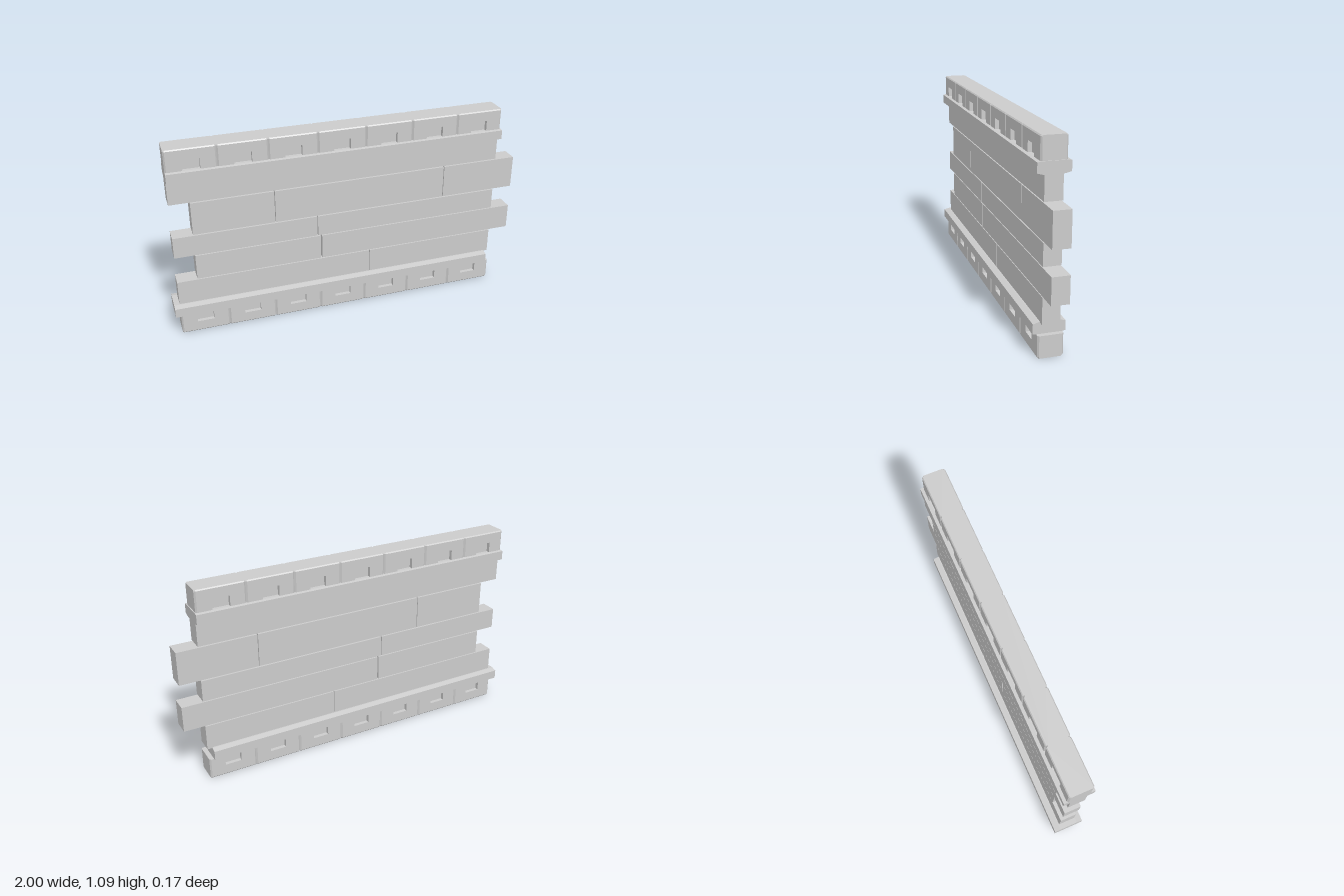
import * as THREE from 'three';

const material = new THREE.MeshStandardMaterial({ color: 0xcccccc, flatShading: true });
const HEIGHT = 1.09;
const BLOCKS = 7, PITCH = 0.265;
const MID_X = -0.0425;

function addMesh(parent, name, geometry) {
  const mesh = new THREE.Mesh(geometry, material);
  mesh.name = name;
  parent.add(mesh);
  return mesh;
}

// Plan outline of a block course: V grooves between blocks, optional window recesses.
function courseShape(withWindows) {
  const side = [];
  for (let i = 0; i < BLOCKS; i++) {
    const a = (i - BLOCKS / 2) * PITCH, b = a + PITCH, c = a + PITCH / 2;
    side.push([a, 0.058], [a + 0.008, 0.066]);
    if (withWindows) {
      side.push([c - 0.046, 0.066], [c - 0.046, 0.045], [c + 0.046, 0.045], [c + 0.046, 0.066]);
    }
    side.push([b - 0.008, 0.066]);
  }
  side.push([BLOCKS * PITCH / 2, 0.058]);
  const back = side.slice().reverse().map(([x, z]) => [x, -z]);
  return new THREE.Shape([...side, ...back].map(([x, z]) => new THREE.Vector2(x, z)));
}

// Upright slab from y0 to y1
function slab(withWindows, y0, y1) {
  const g = new THREE.ExtrudeGeometry(courseShape(withWindows), { depth: y1 - y0, bevelEnabled: false });
  g.rotateX(-Math.PI / 2);
  g.translate(0, y0, 0);
  return g;
}

// Band of seven blocks, chamfered along its outer edge at y = 0
function blockBand(name) {
  const band = new THREE.Group();
  band.name = name;
  const edge = slab(false, 0, 0.006);
  const p = edge.attributes.position;
  for (let i = 0; i < p.count; i++) {
    if (p.getY(i) < 0.003) p.setZ(i, p.getZ(i) * 0.92);
  }
  edge.computeVertexNormals();
  addMesh(band, 'chamferedEdge', edge);
  addMesh(band, 'solidCourse', slab(false, 0.006, 0.06));
  addMesh(band, 'windowCourse', slab(true, 0.06, 0.118));
  band.position.x = MID_X;
  return band;
}

// Projecting rail with sloped shoulders, running along x
function rail(x0, x1) {
  const half = [[0.083, 0.121], [0.083, 0.172], [0.052, 0.18]];
  const pts = [[0.066, 0.118], ...half, ...half.slice().reverse().map(([z, y]) => [-z, y]), [-0.066, 0.118]];
  const shape = new THREE.Shape(pts.map(([z, y]) => new THREE.Vector2(z, y)));
  const g = new THREE.ExtrudeGeometry(shape, { depth: x1 - x0, bevelEnabled: false });
  g.rotateY(Math.PI / 2);
  g.translate(x0, 0, 0);
  return g;
}

export function createModel() {
  const model = new THREE.Group();
  model.name = 'wallPanel';

  // Block bands, the upper one turned over
  model.add(blockBand('lowerBlockBand'));
  const upper = blockBand('upperBlockBand');
  upper.rotation.x = Math.PI;
  upper.position.y = HEIGHT;
  model.add(upper);

  // Rails
  addMesh(model, 'lowerRail', rail(-1, 0.86));
  const upperRail = addMesh(model, 'upperRail', rail(-0.97, 0.89));
  upperRail.rotation.x = Math.PI;
  upperRail.position.y = HEIGHT;

  // Staggered plank rows: bottom, top, joint gap, then x of ends and joints
  const rows = [
    [0.175, 0.316, 0.004, [-0.97, 0.125, 0.885]],
    [0.321, 0.463, 0.008, [-0.86, -0.16, 1]],
    [0.468, 0.586, 0.004, [-0.97, -0.18, 0.885]],
    [0.592, 0.776, 0.004, [-0.86, -0.415, 0.565, 1]],
    [0.782, 0.918, 0.004, [-0.97, 0.885]],
  ];
  rows.forEach(([y0, y1, gap, xs], r) => {
    const row = new THREE.Group();
    row.name = `plankRow${r + 1}`;
    for (let i = 0; i + 1 < xs.length; i++) {
      const a = xs[i] + (i > 0 ? gap / 2 : 0);
      const b = xs[i + 1] - (i + 2 < xs.length ? gap / 2 : 0);
      const plank = addMesh(row, 'plank', new THREE.BoxGeometry(b - a, y1 - y0, 0.092));
      plank.position.set((a + b) / 2, (y0 + y1) / 2, 0);
    }
    model.add(row);
  });

  return model;
}
